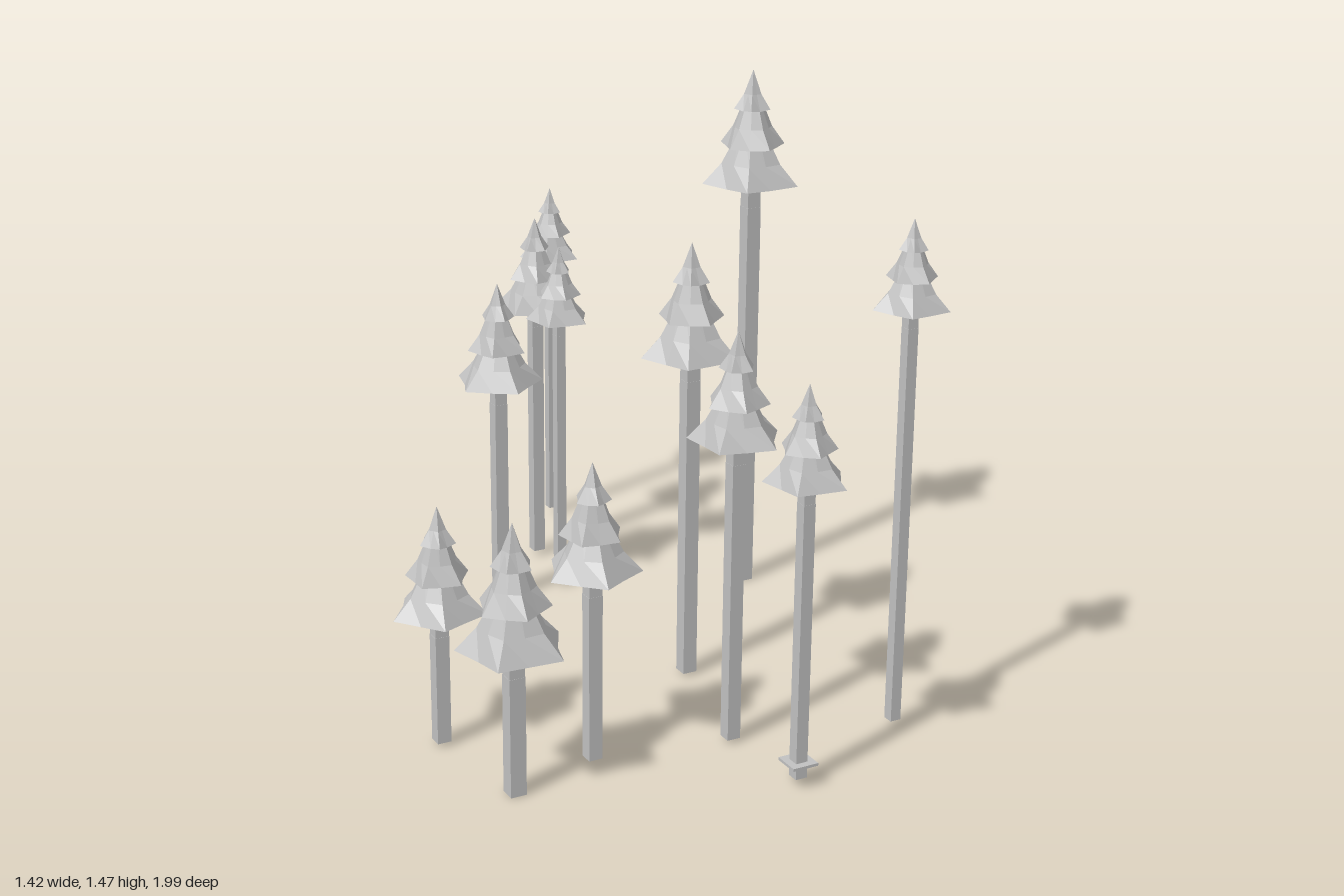
import * as THREE from 'three';

// x, z, base height, crown height, crown radius, turn of the crown in degrees
const TREES = [
  [0.317, -0.90, 0.023, 0.815, 0.090, 0],
  [0.140, -0.637, 0.015, 0.755, 0.113, 20],
  [-0.095, -0.385, 0.012, 0.64, 0.122, 35],
  [0.095, -0.395, 0.023, 0.79, 0.090, 8],
  [0.583, -0.205, 0, 1.16, 0.135, -1],
  [0.135, 0.263, 0.008, 0.87, 0.128, -4],
  [-0.593, 0.335, 0.010, 0.35, 0.120, -20],
  [-0.540, 0.642, 0, 0.37, 0.137, 4],
  [-0.305, 0.583, 0.010, 0.495, 0.120, -27],
  [0.045, 0.643, 0.010, 0.785, 0.118, 14],
  [0.440, 0.765, 0.023, 1.087, 0.095, -4],
  [0.075, 0.908, 0.020, 0.765, 0.103, 8],
];

// Crown tiers in units of the crown radius: rim radius, rim height, top radius, top height
const TIERS = [
  [1.0, 0, 0.26, 1.1],
  [0.67, 0.76, 0.16, 1.75],
  [0.38, 1.5, 0, 2.3],
];

// Five-pointed flared skirt, closed underneath
function tierGeometry([rim, y, top, topY]) {
  const h = topY - y;
  // tip radius, valley radius, tip height, valley height, from the underside to the top
  const rings = [
    [0, 0, y + 0.08, y + 0.08],
    [rim, rim * 0.75, y + 0.03, y],
    [top + (rim - top) * 0.48, top + (rim - top) * 0.38, y + h * 0.4, y + h * 0.4],
    [top, top * 0.85, topY, topY],
  ];
  if (top > 0) rings.push([0, 0, topY, topY]);
  const point = ([rt, rv, yt, yv], i) => {
    const a = (i * Math.PI) / 5;
    const r = i % 2 ? rv : rt;
    return new THREE.Vector3(Math.sin(a) * r, i % 2 ? yv : yt, -Math.cos(a) * r);
  };
  const pts = [];
  for (let k = 0; k < rings.length - 1; k++) {
    const lo = rings[k], up = rings[k + 1];
    for (let i = 0; i < 10; i++) {
      if (up[0] > 0) pts.push(point(lo, i), point(up, i), point(up, i + 1));
      if (lo[0] > 0) pts.push(point(lo, i), point(up, i + 1), point(lo, i + 1));
    }
  }
  const g = new THREE.BufferGeometry().setFromPoints(pts);
  g.computeVertexNormals();
  return g;
}

export function createModel() {
  const model = new THREE.Group();
  model.name = 'pineTrees';
  const grey = new THREE.MeshStandardMaterial({ color: 0xc0c0c0 });
  grey.name = 'plainGrey';
  const tierGeometries = TIERS.map(tierGeometry);

  const box = (parent, name, w, y0, y1) => {
    const m = new THREE.Mesh(new THREE.BoxGeometry(w, y1 - y0, w), grey);
    m.position.y = (y0 + y1) / 2;
    m.name = name;
    parent.add(m);
  };

  TREES.forEach(([x, z, base, crownY, r, turn], n) => {
    const tree = new THREE.Group();
    tree.name = 'tree' + (n + 1);
    tree.position.set(x, 0, z);

    // Long lower trunk and the short stub under the branches
    const joint = crownY - 0.48 * r;
    box(tree, 'lowerTrunk', 0.3 * r, base, joint);
    box(tree, 'upperTrunk', 0.29 * r, joint, crownY + 0.1 * r);

    // Stacked branch tiers
    const crown = new THREE.Group();
    crown.name = 'crown';
    crown.position.y = crownY;
    crown.scale.setScalar(r);
    crown.rotation.y = -THREE.MathUtils.degToRad(turn);
    tierGeometries.forEach((g, i) => {
      const tier = new THREE.Mesh(g, grey);
      tier.name = 'branchTier' + (i + 1);
      tier.rotation.y = (i * Math.PI) / 5;
      crown.add(tier);
    });
    tree.add(crown);

    // Thin collar around the foot of the frontmost tree
    if (n === TREES.length - 1) box(tree, 'footCollar', 0.068, 0.055, 0.062);
    model.add(tree);
  });
  return model;
}
